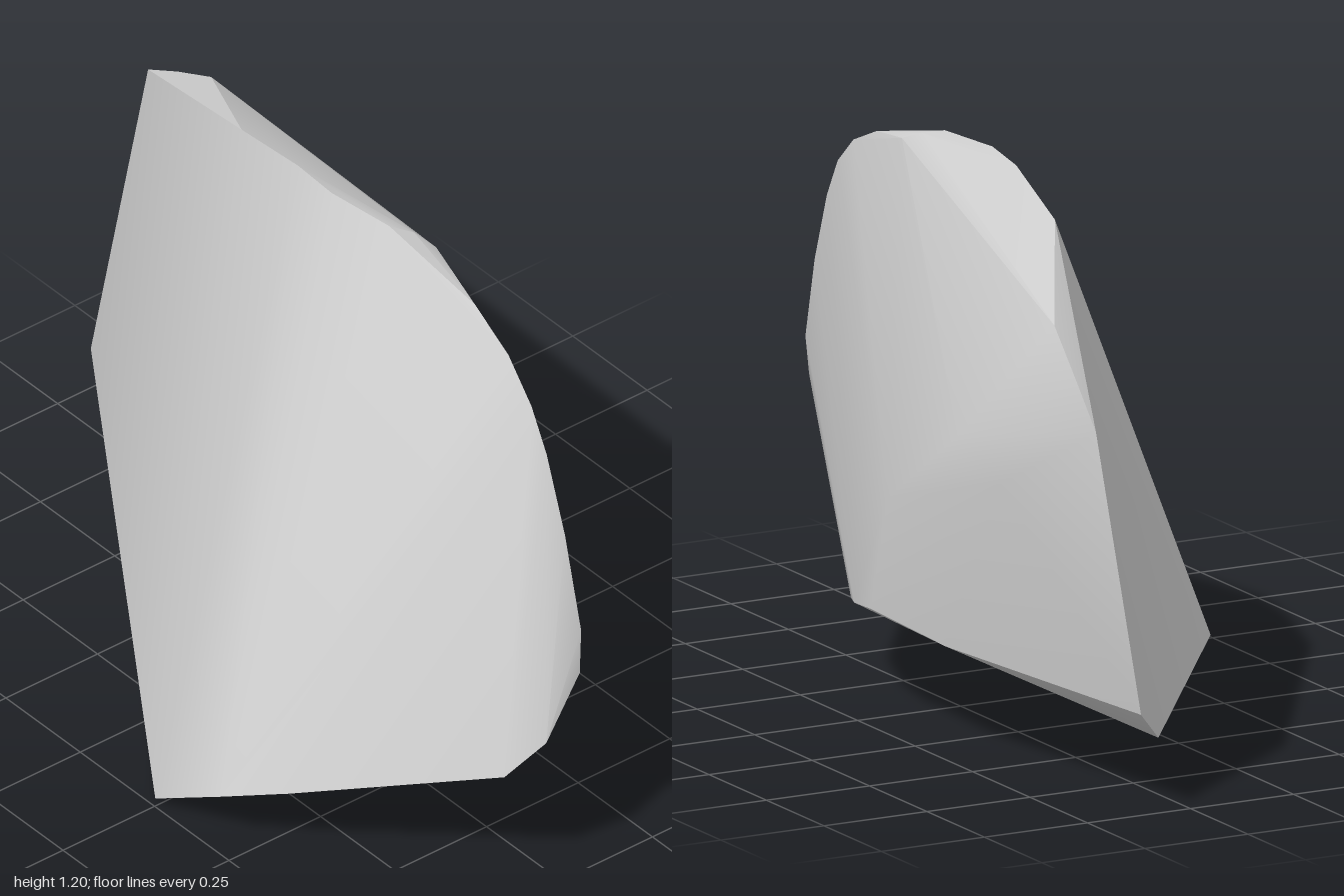
import * as THREE from 'three';
import { ConvexGeometry } from 'three/addons/geometries/ConvexGeometry.js';
import { toCreasedNormals } from 'three/addons/utils/BufferGeometryUtils.js';

// Corner loops of a faceted boulder, as [x, y, z]
const frontRidge = [
  [-0.49, 0.14, 0.46], [-0.41, 0.185, 0.59], [-0.13, 0.315, 0.97],
  [-0.04, 0.38, 1], [0.08, 0.49, 0.965], [0.1, 0.58, 0.945],
  [0.125, 0.77, 0.86], [0.14, 0.93, 0.78], [0.147, 1.02, 0.72], [0.165, 1.09, 0.62],
  [0.18, 1.14, 0.49], [0.22, 1.17, 0.31],
];
const crest = [
  [0.2, 1.19, 0.26], [0.165, 1.2, 0.22], [0.145, 1.2, 0.05], [0.16, 1.19, -0.08],
  [0.2, 1.13, -0.32], [0.385, 0.995, -0.65], [0.415, 0.91, -0.8], [0.44, 0.83, -0.93],
];
const sideBulge = [
  [0.48, 0.71, -0.4], [0.488, 0.65, -0.6], [0.473, 0.5, -0.08],
];
const base = [
  [0.37, 0.22, -1], [0.3, 0.15, -0.95], [-0.49, 0.01, 0.24], [-0.4, 0, 0.25],
  [0.01, 0.08, 0.43], [0.31, 0.162, 0.37], [0.425, 0.215, 0.15],
  [0.468, 0.24, 0], [0.476, 0.235, -0.34],
];

export function createModel() {
  const group = new THREE.Group();
  group.name = 'boulder';

  // Solid stone: hull of the corner loops, soft facets with sharp ridges
  const corners = [...frontRidge, ...crest, ...sideBulge, ...base]
    .map((p) => new THREE.Vector3(...p));
  const geometry = toCreasedNormals(new ConvexGeometry(corners), THREE.MathUtils.degToRad(30));
  const stone = new THREE.Mesh(geometry, new THREE.MeshStandardMaterial({ color: 0xcccccc }));
  stone.name = 'stone';
  group.add(stone);
  return group;
}
